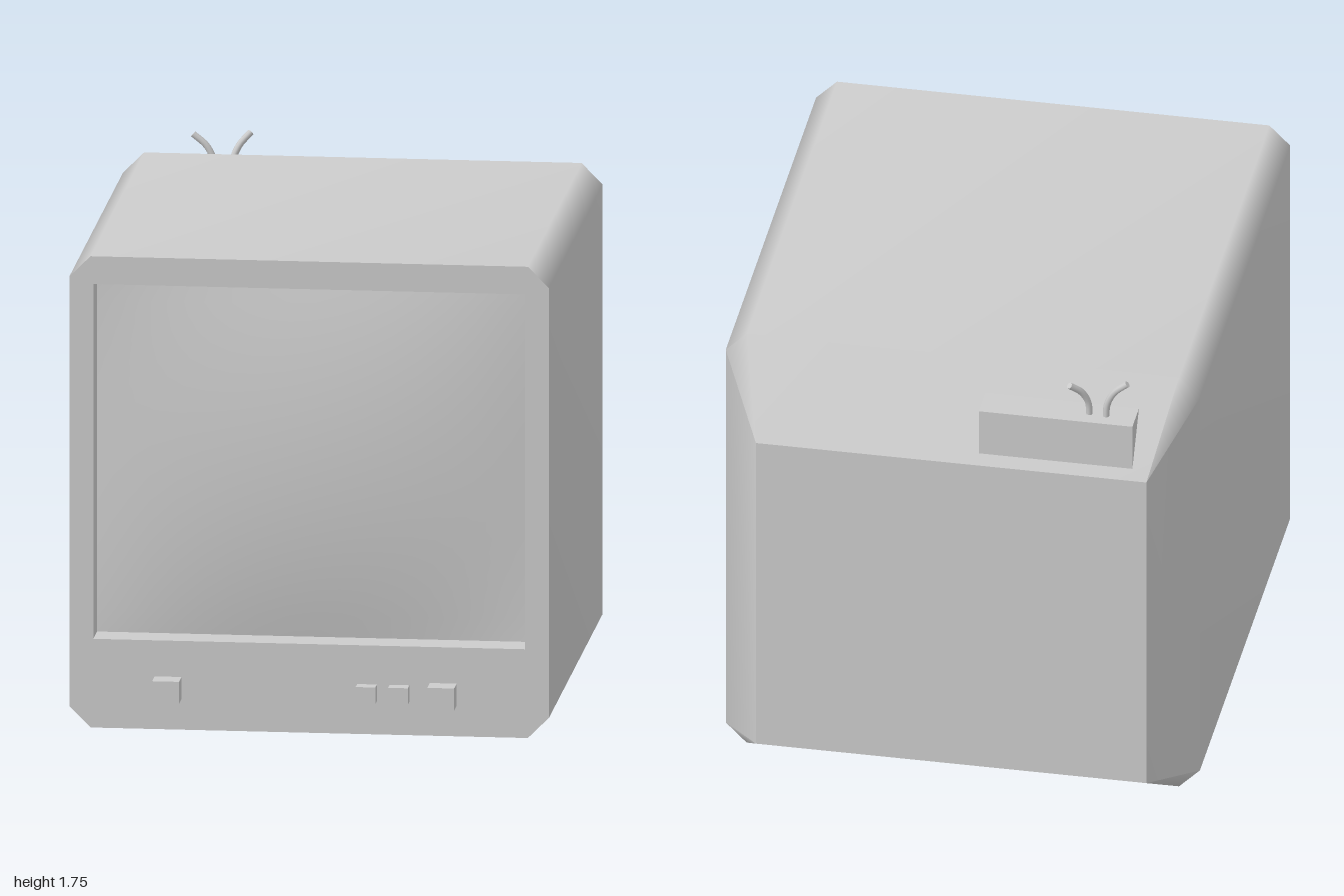
import * as THREE from 'three';

const material = new THREE.MeshStandardMaterial({ color: 0xcccccc });
const CREASE = Math.cos(THREE.MathUtils.degToRad(50));

function add(parent, name, geometry, x = 0, y = 0, z = 0) {
  const mesh = new THREE.Mesh(geometry, material);
  mesh.name = name;
  mesh.position.set(x, y, z);
  parent.add(mesh);
  return mesh;
}

// Skin between rings of equal length; counter-clockwise rings running back face outward.
// Normals are area weighted and split at sharp edges.
function loft(rings) {
  const tris = [];
  const addTri = (...p) => {
    const n = p[1].clone().sub(p[0]).cross(p[2].clone().sub(p[0]));
    if (n.length() > 1e-8) tris.push({ p, n, unit: n.clone().normalize() });
  };
  for (let r = 0; r + 1 < rings.length; r++) {
    const a = rings[r], b = rings[r + 1];
    for (let i = 0; i < a.length; i++) {
      const j = (i + 1) % a.length;
      addTri(a[i], b[i], a[j]);
      addTri(a[j], b[i], b[j]);
    }
  }
  const position = [], normal = [];
  for (const t of tris) {
    for (const v of t.p) {
      const sum = new THREE.Vector3();
      for (const o of tris) {
        const touches = o.p.some(q => q.distanceToSquared(v) < 1e-8);
        if (touches && o.unit.dot(t.unit) > CREASE) sum.add(o.n);
      }
      sum.normalize();
      position.push(v.x, v.y, v.z);
      normal.push(sum.x, sum.y, sum.z);
    }
  }
  const g = new THREE.BufferGeometry();
  g.setAttribute('position', new THREE.Float32BufferAttribute(position, 3));
  g.setAttribute('normal', new THREE.Float32BufferAttribute(normal, 3));
  return g;
}

// Rectangle with cut corners, two points per corner, counter-clockwise
function outline(hw, y0, y1, c) {
  return [
    [hw, y0 + c], [hw, y1 - c], [hw - c, y1], [-hw + c, y1],
    [-hw, y1 - c], [-hw, y0 + c], [-hw + c, y0], [hw - c, y0],
  ].map(([x, y]) => new THREE.Vector2(x, y));
}
const ring = (points, z) => points.map(p => new THREE.Vector3(p.x, p.y, z));

export function createModel() {
  const model = new THREE.Group();
  model.name = 'television';

  // Cabinet with tapered rear
  const cabinet = new THREE.Group();
  cabinet.name = 'cabinet';
  model.add(cabinet);
  const outer = outline(0.85, 0, 1.7, 0.075);
  const rear = outline(0.7, 0.14, 1.39, 0);
  add(cabinet, 'shell', loft([ring(outer, 0.92), ring(outer, -0.78), ring(rear, -1)]));
  add(cabinet, 'backPanel', new THREE.PlaneGeometry(1.4, 1.25), 0, 0.765, -1).rotation.y = Math.PI;

  // Front frame and the recess behind its opening
  const opening = [[0.765, 0.32], [0.765, 1.6], [-0.765, 1.6], [-0.765, 0.32]]
    .map(([x, y]) => new THREE.Vector2(x, y)).reverse();
  const frame = new THREE.Shape(outer);
  frame.holes.push(new THREE.Path(opening));
  add(cabinet, 'frontFrame', new THREE.ShapeGeometry(frame), 0, 0, 0.92);
  add(cabinet, 'screenRecess', loft([ring(opening, 0.92), ring(opening, 0.8)]));

  // Bulging picture tube
  const screen = new THREE.PlaneGeometry(1.53, 1.28, 16, 16);
  const p = screen.attributes.position;
  for (let i = 0; i < p.count; i++) {
    const u = p.getX(i) / 0.765, v = p.getY(i) / 0.64;
    p.setZ(i, 0.07 * (1 - u * u) * (1 - v * v));
  }
  screen.computeVertexNormals();
  add(model, 'screen', screen, 0, 0.96, 0.8);

  // Control knobs: x, width, height, protrusion
  const knobs = [[-0.5, 0.095, 0.08, 0.08], [0.205, 0.07, 0.06, 0.05],
    [0.32, 0.07, 0.06, 0.05], [0.475, 0.095, 0.08, 0.08]];
  for (const [x, w, h, d] of knobs) {
    add(model, 'knob', new THREE.BoxGeometry(w, h, d), x, 0.15, 0.92 + d / 2);
  }

  // Antenna housing, wedged into the sloping rear
  const wedge = new THREE.Shape([[0.85, 1.6], [0.975, 1.6], [0.975, 1.42]]
    .map(([x, y]) => new THREE.Vector2(x, y)));
  const housing = new THREE.ExtrudeGeometry(wedge, { depth: 0.55, bevelEnabled: false });
  housing.rotateY(Math.PI / 2);
  add(model, 'antennaHousing', housing, -0.645, 0, 0);

  // Pair of bent antennas
  const antennas = [
    [[-0.54, 1.59, -0.92], [-0.545, 1.65, -0.92], [-0.57, 1.7, -0.92], [-0.617, 1.74, -0.92]],
    [[-0.48, 1.59, -0.915], [-0.476, 1.65, -0.92], [-0.455, 1.7, -0.938], [-0.418, 1.74, -0.968]],
  ];
  for (const points of antennas) {
    const curve = new THREE.CatmullRomCurve3(points.map(q => new THREE.Vector3(...q)));
    const antenna = new THREE.Group();
    antenna.name = 'antenna';
    model.add(antenna);
    add(antenna, 'antennaRod', new THREE.TubeGeometry(curve, 10, 0.012, 8));
    const tip = add(antenna, 'antennaTip', new THREE.CircleGeometry(0.012, 8));
    tip.position.copy(curve.getPointAt(1));
    tip.quaternion.setFromUnitVectors(new THREE.Vector3(0, 0, 1), curve.getTangentAt(1));
  }
  return model;
}
